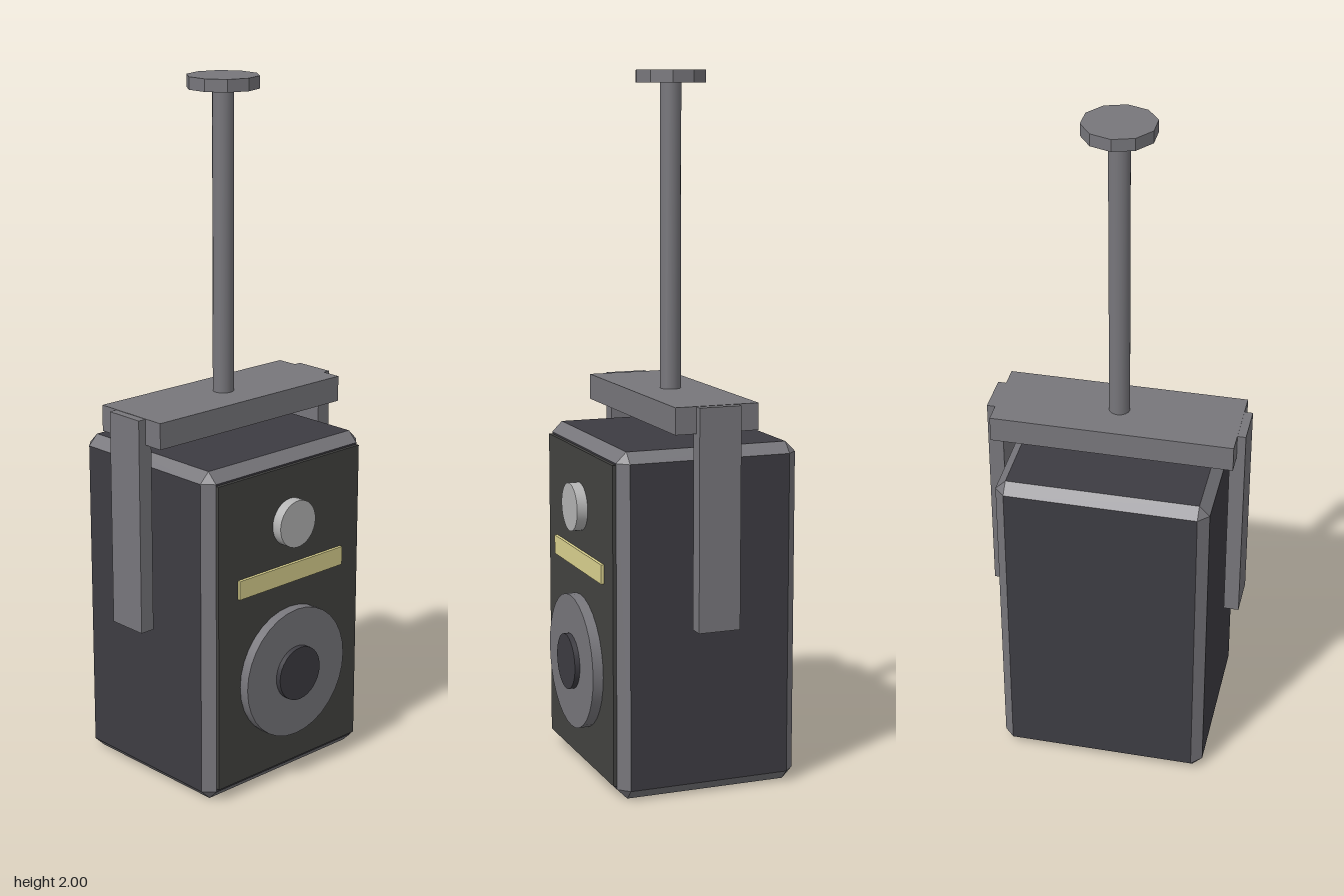
import * as THREE from 'three';
import { ConvexGeometry } from 'three/addons/geometries/ConvexGeometry.js';
import { toCreasedNormals } from 'three/addons/utils/BufferGeometryUtils.js';

const mat = (color) => new THREE.MeshStandardMaterial({ color });
const metal = mat(0x77767b);
const dark = mat(0x3d3c42);
const baffleGrey = mat(0x434341);
const silver = mat(0xb4b4b4);
const yellow = mat(0xdbd28f);

export function createModel() {
  const model = new THREE.Group();
  model.name = 'hangingSpeaker';

  const add = (parent, name, geometry, material) => {
    const mesh = new THREE.Mesh(geometry, material);
    mesh.name = name;
    parent.add(mesh);
    return mesh;
  };

  // Box given by its minimum and maximum corners
  const box = (parent, name, material, [x0, y0, z0], [x1, y1, z1]) => {
    const mesh = add(parent, name, new THREE.BoxGeometry(x1 - x0, y1 - y0, z1 - z0), material);
    mesh.position.set((x0 + x1) / 2, (y0 + y1) / 2, (z0 + z1) / 2);
  };

  // Forward-facing disc on the baffle
  const disc = (parent, name, material, y, radius, z0, z1, sides) => {
    const cylinder = new THREE.CylinderGeometry(radius, radius, z1 - z0, sides);
    const mesh = add(parent, name, toCreasedNormals(cylinder, 0.6), material);
    mesh.rotation.x = Math.PI / 2;
    mesh.position.set(0, y, (z0 + z1) / 2);
  };

  // Upright rod
  const rod = (parent, name, radius, y0, y1, sides, crease) => {
    const cylinder = new THREE.CylinderGeometry(radius, radius, y1 - y0, sides);
    const mesh = add(parent, name, toCreasedNormals(cylinder, crease), metal);
    mesh.position.set(0, (y0 + y1) / 2, -0.029);
  };

  // Cabinet: chamfered box, dark panels and lighter chamfers
  const cabinet = new THREE.Group();
  cabinet.name = 'cabinet';
  model.add(cabinet);
  const half = [0.305, 0.49, 0.266];
  const chamfer = 0.03;
  const corners = [];
  for (const sx of [-1, 1]) for (const sy of [-1, 1]) for (const sz of [-1, 1]) {
    for (let axis = 0; axis < 3; axis++) {
      const p = half.map((h, i) => (i === axis ? h : h - chamfer));
      corners.push(new THREE.Vector3(p[0] * sx, p[1] * sy, p[2] * sz));
    }
  }
  const hull = new ConvexGeometry(corners);
  const position = hull.attributes.position;
  const normal = hull.attributes.normal;
  const panels = [], chamfers = [];
  for (let i = 0; i < position.count; i += 3) {
    const n = [normal.getX(i), normal.getY(i), normal.getZ(i)].map(Math.abs);
    const target = Math.max(...n) > 0.99 ? panels : chamfers;
    for (let k = i; k < i + 3; k++) {
      target.push(position.getX(k), position.getY(k), position.getZ(k));
    }
  }
  for (const [name, points, material] of [
    ['cabinetPanels', panels, dark],
    ['cabinetChamfers', chamfers, metal],
  ]) {
    const geometry = new THREE.BufferGeometry();
    geometry.setAttribute('position', new THREE.Float32BufferAttribute(points, 3));
    geometry.computeVertexNormals();
    add(cabinet, name, geometry, material).position.set(0, half[1], -0.029);
  }

  // Front baffle with tweeter, stripe and woofer
  const front = new THREE.Group();
  front.name = 'front';
  model.add(front);
  box(front, 'baffle', baffleGrey, [-0.275, 0.04, 0.22], [0.275, 0.945, 0.247]);
  box(front, 'stripe', yellow, [-0.203, 0.6, 0.24], [0.203, 0.655, 0.256]);
  disc(front, 'tweeter', silver, 0.78, 0.069, 0.24, 0.278, 32);
  disc(front, 'wooferRing', metal, 0.33, 0.193, 0.24, 0.277, 32);
  disc(front, 'wooferCentre', dark, 0.33, 0.08, 0.26, 0.292, 32);

  // Hanging bracket
  const bracket = new THREE.Group();
  bracket.name = 'bracket';
  model.add(bracket);
  box(bracket, 'crossBar', metal, [-0.347, 1.03, -0.151], [0.347, 1.105, 0.093]);
  for (const [name, x0, x1] of [['leftArm', 0.327, 0.371], ['rightArm', -0.371, -0.327]]) {
    box(bracket, name, metal, [x0, 0.48, -0.09], [x1, 1.104, 0.032]);
  }

  // Pole and ceiling plate
  rod(model, 'pole', 0.03, 1.08, 1.98, 16, 0.6);
  rod(model, 'ceilingPlate', 0.102, 1.965, 2, 10, 0.3);

  return model;
}
